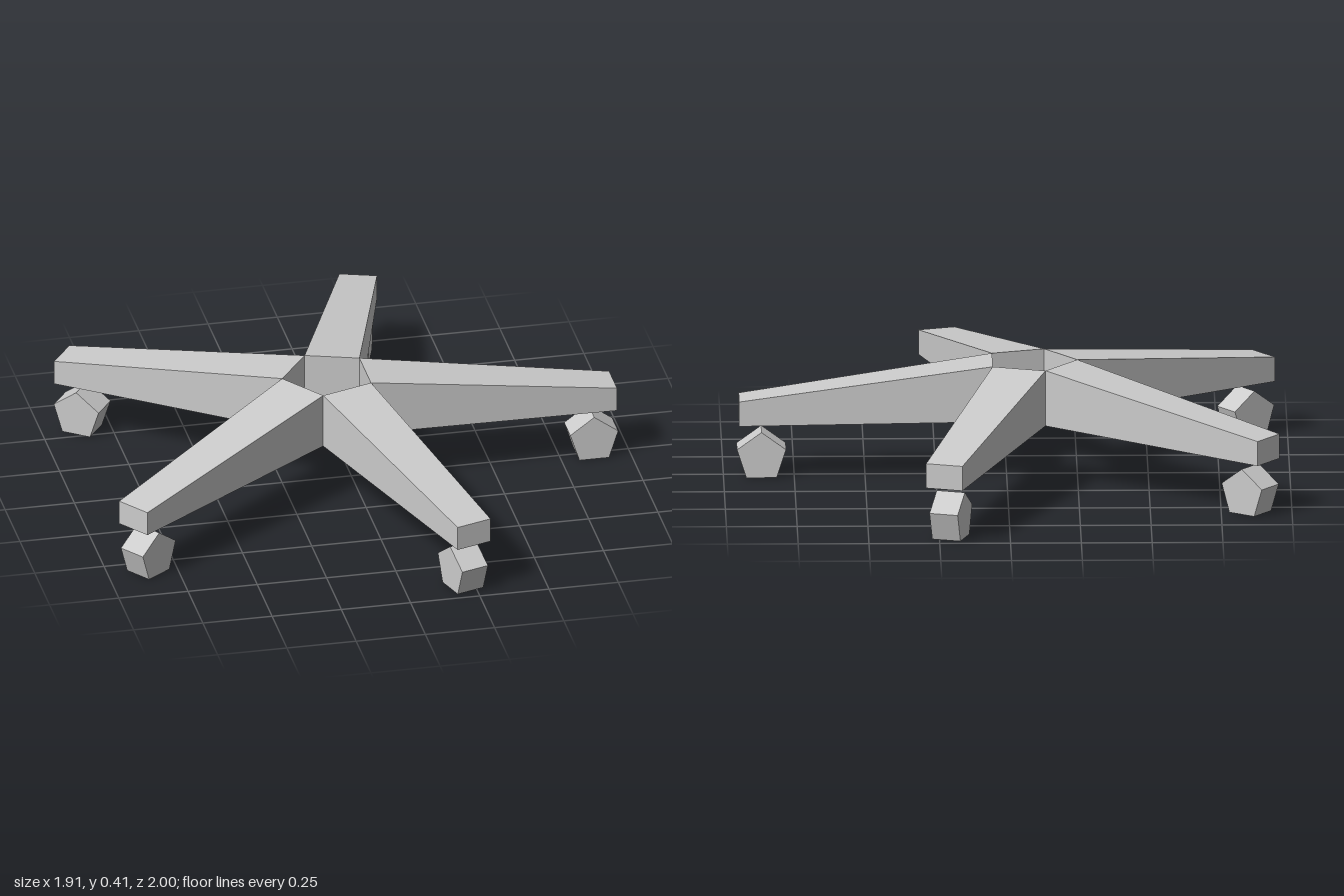
import * as THREE from 'three';

const ARMS = 5;
const HUB_X = -0.084;     // hub axis
const INNER = 0.134;      // hub axis to arm root
const OUTER = 1.029;      // hub axis to arm tip
const CASTER_AT = 0.95;   // hub axis to caster centre
const CASTER_R = 0.091;

// Box whose root and tip ends have their own width, bottom and top
function armGeometry() {
  const root = { x: INNER, half: 0.0975, bottom: 0.212, top: 0.413 };
  const tip = { x: OUTER, half: 0.067, bottom: 0.191, top: 0.28 };
  const geometry = new THREE.BoxGeometry(1, 1, 1);
  const p = geometry.attributes.position;
  for (let i = 0; i < p.count; i++) {
    const end = p.getX(i) < 0 ? root : tip;
    p.setXYZ(i, end.x, p.getY(i) < 0 ? end.bottom : end.top, Math.sign(p.getZ(i)) * end.half);
  }
  geometry.computeVertexNormals();
  return geometry;
}

// Five-sided wheel lying across the arm, one corner up and one flat on the ground
function casterGeometry() {
  const geometry = new THREE.CylinderGeometry(CASTER_R, CASTER_R, 0.104, 5);
  geometry.rotateX(-Math.PI / 2); // first corner (+z) turns to +y
  geometry.translate(CASTER_AT, CASTER_R * Math.cos(Math.PI / 5), 0);
  return geometry;
}

export function createModel() {
  const model = new THREE.Group();
  model.name = 'chairBase';
  const material = new THREE.MeshStandardMaterial({ color: 0xcccccc, flatShading: true });
  const armShape = armGeometry();
  const casterShape = casterGeometry();

  // Arms meet edge to edge, leaving an open five-sided socket in the middle
  for (let i = 0; i < ARMS; i++) {
    const leg = new THREE.Group();
    leg.name = `leg${i + 1}`;
    const arm = new THREE.Mesh(armShape, material);
    arm.name = 'arm';
    const caster = new THREE.Mesh(casterShape, material);
    caster.name = 'caster';
    leg.add(arm, caster);
    leg.position.x = HUB_X;
    leg.rotation.y = (i / ARMS) * Math.PI * 2;
    model.add(leg);
  }
  return model;
}
